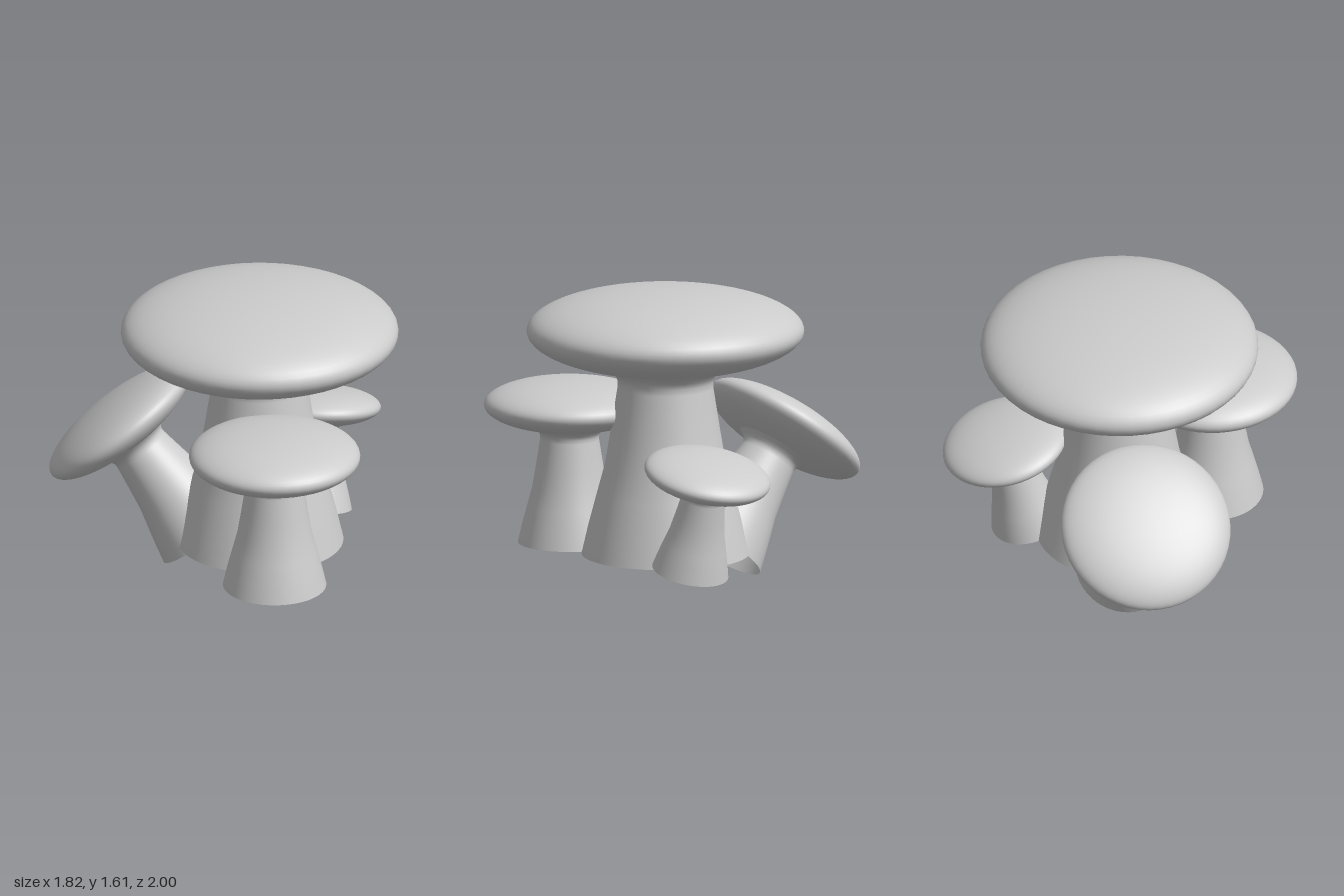
import * as THREE from 'three';

const material = new THREE.MeshStandardMaterial({ color: 0xcccccc, side: THREE.DoubleSide });

// Stem: hollow, open at the foot, flaring out under the cap
const stemProfile = [
  [0.45, 0], [0.413, 0.16], [0.368, 0.33], [0.325, 0.49], [0.293, 0.68],
  [0.257, 0.91], [0.256, 0.945], [0.268, 0.975], [0.295, 1.0], [0.345, 1.03],
].map(([r, y]) => new THREE.Vector2(r, y));
const stemGeometry = new THREE.LatheGeometry(stemProfile, 48);

// Cap: flattened ball
const capGeometry = new THREE.SphereGeometry(1, 48, 32);
capGeometry.scale(0.745, 0.22, 0.745);
capGeometry.translate(0, 1.22, 0);

// One mushroom: foot position, size, and how far its axis leans in x and z
function mushroom(name, x, z, size, leanX = 0, leanZ = 0) {
  const group = new THREE.Group();
  group.name = name;
  const stem = new THREE.Mesh(stemGeometry, material);
  stem.name = 'stem';
  const cap = new THREE.Mesh(capGeometry, material);
  cap.name = 'cap';
  group.add(stem, cap);
  group.scale.setScalar(size);
  group.position.set(x, 0.18, z);
  const axis = new THREE.Vector3(leanX, Math.sqrt(1 - leanX ** 2 - leanZ ** 2), leanZ);
  group.quaternion.setFromUnitVectors(new THREE.Vector3(0, 1, 0), axis);
  return group;
}

export function createModel() {
  const model = new THREE.Group();
  model.name = 'mushroomCluster';
  model.add(
    mushroom('mainMushroom', 0.033, -0.007, 1),
    mushroom('frontMushroom', -0.207, 0.54, 0.617),
    mushroom('backMushroom', -0.163, -0.252, 0.617, -0.443, -0.443),
    mushroom('leftMushroom', 0.486, -0.197, 0.46, 0.155, -0.184),
  );
  return model;
}
